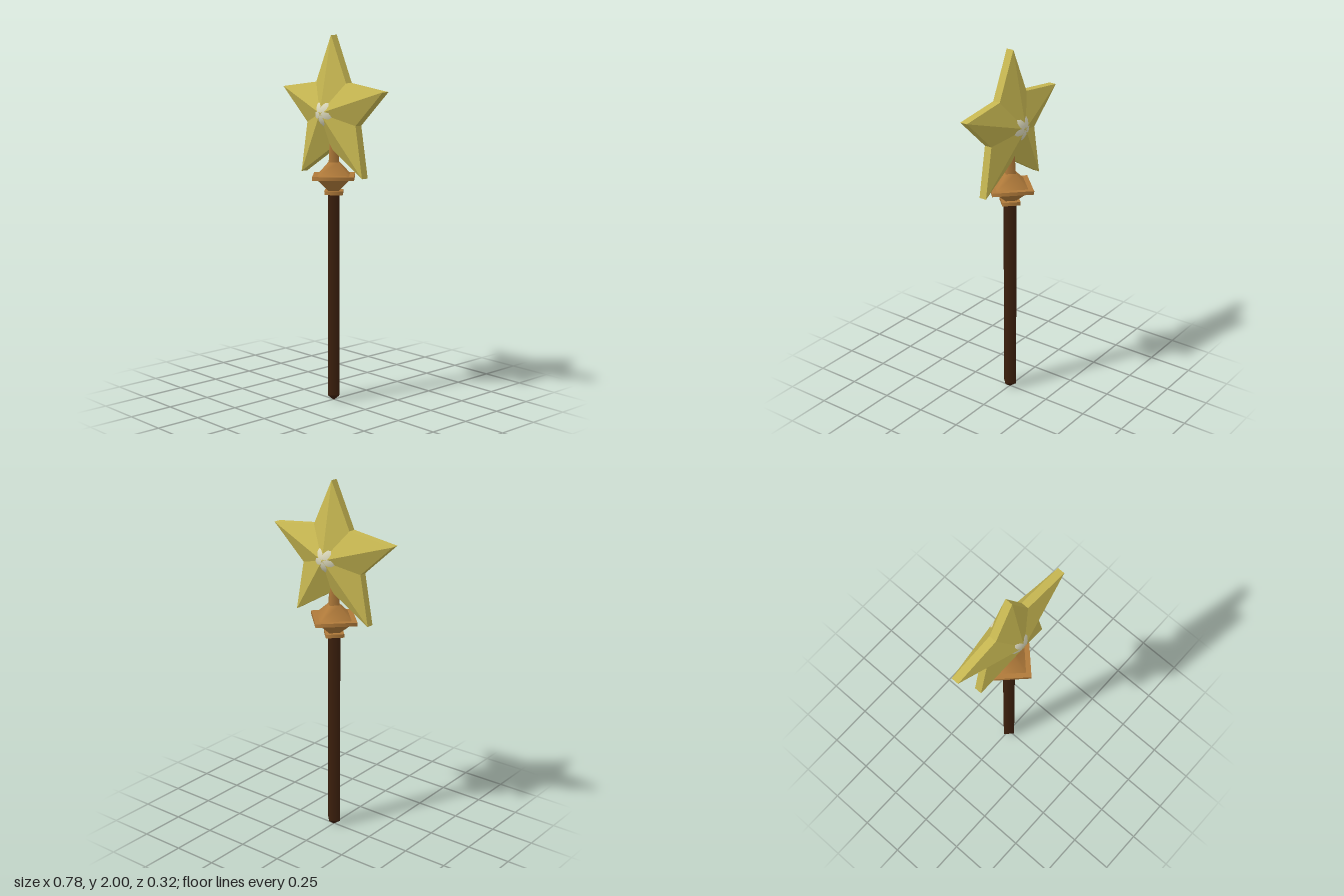
import * as THREE from 'three';

const mat = (name, color) => {
  const m = new THREE.MeshStandardMaterial({ color });
  m.name = name;
  return m;
};

// Faceted star: a raised point on each face and a narrow flat rim
function starGeometry() {
  const half = [[0, 0.41], [0.117, 0.16], [0.39, 0.125], [0.19, -0.06], [0.24, -0.335]];
  const outline = [...half, [0, -0.19], ...half.slice(1).reverse().map(([x, y]) => [-x, y])];
  const rim = 0.021, peak = 0.102, pos = [];
  outline.forEach(([ax, ay], i) => {
    const [bx, by] = outline[(i + 1) % outline.length];
    pos.push(0, 0, peak, bx, by, rim, ax, ay, rim);
    pos.push(0, 0, -peak, ax, ay, -rim, bx, by, -rim);
    pos.push(ax, ay, rim, bx, by, rim, bx, by, -rim);
    pos.push(ax, ay, rim, bx, by, -rim, ax, ay, -rim);
  });
  const g = new THREE.BufferGeometry();
  g.setAttribute('position', new THREE.Float32BufferAttribute(pos, 3));
  g.computeVertexNormals();
  return g;
}

export function createModel() {
  const group = new THREE.Group();
  const wood = mat('darkWood', 0x3d200d);
  const bronze = mat('bronze', 0xb07a3a);
  const gold = mat('paleGold', 0xc8b852);
  const pearl = mat('pearl', 0xdcd9bc);

  const add = (name, geometry, material, y) => {
    const mesh = new THREE.Mesh(geometry, material);
    mesh.name = name;
    mesh.position.y = y;
    group.add(mesh);
  };
  // Four-sided section with its corners on the x and z axes
  const section = (name, material, y0, y1, r0, r1) =>
    add(name, new THREE.CylinderGeometry(r1, r0, y1 - y0, 4), material, (y0 + y1) / 2);

  // Handle
  section('handleTip', wood, 0, 0.03, 0.004, 0.043);
  section('handle', wood, 0.03, 1.15, 0.043, 0.043);

  // Stepped square mount
  section('collar', bronze, 1.15, 1.17, 0.07, 0.07);
  section('lowerFlare', bronze, 1.17, 1.235, 0.04, 0.12);
  section('guardPlate', bronze, 1.235, 1.255, 0.158, 0.158);
  section('upperFlare', bronze, 1.255, 1.325, 0.12, 0.038);
  section('neck', bronze, 1.325, 1.45, 0.038, 0.03);

  // Star with a pearl showing through its valleys
  add('star', starGeometry(), gold, 1.59);
  add('pearl', new THREE.SphereGeometry(0.101, 24, 16), pearl, 1.59);
  return group;
}
